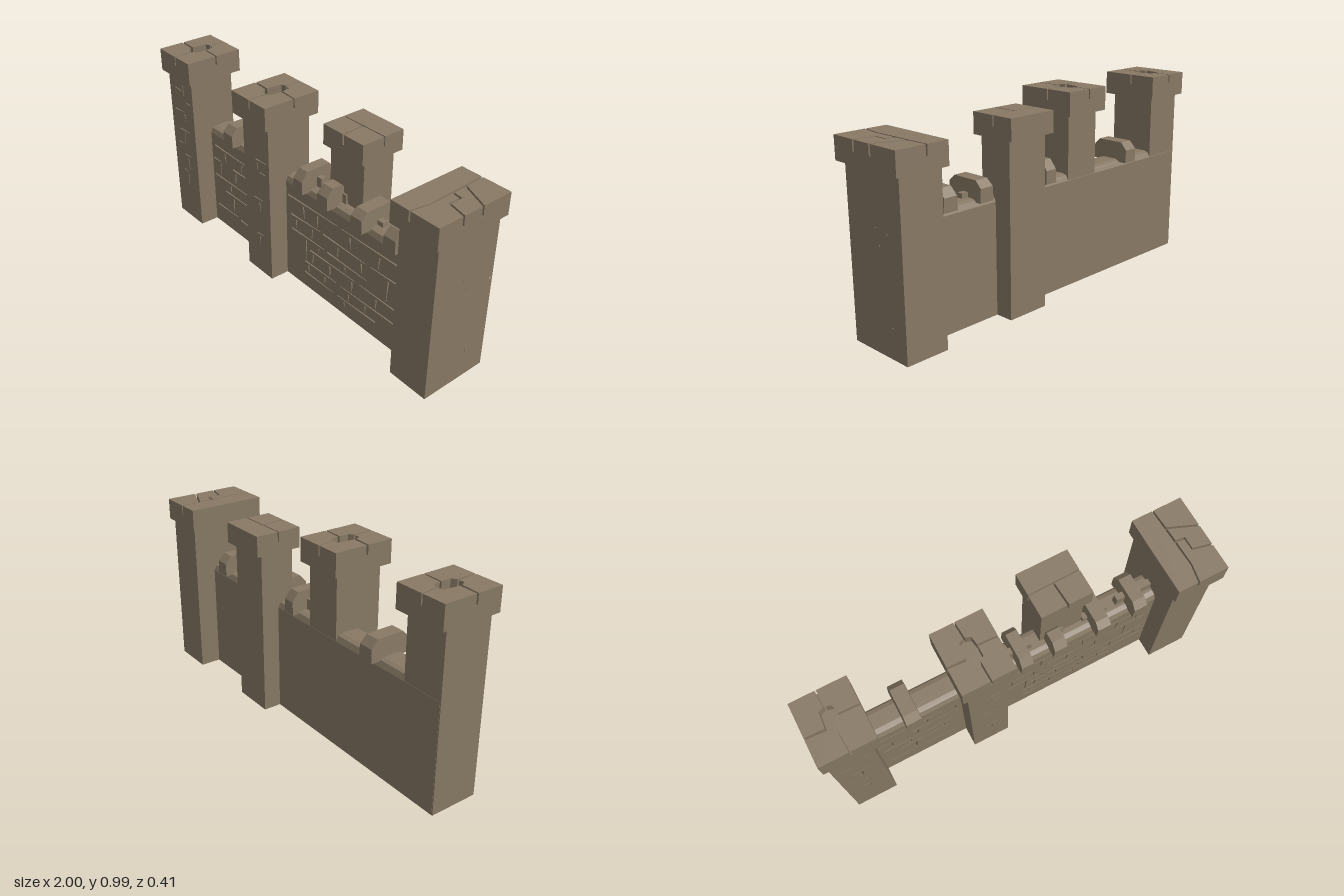
import * as THREE from 'three';

const stone = new THREE.MeshStandardMaterial({ color: 0x887965 });
stone.name = 'stone';
stone.flatShading = true;

function add(parent, name, geometry) {
  const mesh = new THREE.Mesh(geometry, stone);
  mesh.name = name;
  parent.add(mesh);
  return mesh;
}

// Box between two corners, narrowing along x and z towards the top
function block([x0, x1], [y0, y1], [z0, z1], taper = 1) {
  const g = new THREE.BoxGeometry(x1 - x0, y1 - y0, z1 - z0);
  const p = g.attributes.position;
  for (let i = 0; i < p.count; i++) {
    if (p.getY(i) > 0) p.setXYZ(i, p.getX(i) * taper, p.getY(i), p.getZ(i) * taper);
  }
  return g.translate((x0 + x1) / 2, (y0 + y1) / 2, (z0 + z1) / 2);
}

// Profile of [z, y] points carried along x
function alongX(points, x0, x1) {
  const shape = new THREE.Shape(points.map(([z, y]) => new THREE.Vector2(-z, y)));
  return new THREE.ExtrudeGeometry(shape, { depth: x1 - x0, bevelEnabled: false })
    .rotateY(Math.PI / 2).translate(x0, 0, 0);
}

// Outline of [x, z] points raised upwards
function slab(points, y0, y1) {
  const shape = new THREE.Shape(points.map(([x, z]) => new THREE.Vector2(x, -z)));
  return new THREE.ExtrudeGeometry(shape, { depth: y1 - y0, bevelEnabled: false })
    .rotateX(-Math.PI / 2).translate(0, y0, 0);
}

// Facing layer with tapered joints cut through it; lines are [u0, v0, u1, v1]
const DEPTH = 0.014;
function carved([u0, u1], [v0, v1], lines, width, mirror = 1) {
  const point = (u, v) => new THREE.Vector2(mirror * u, v);
  const shape = new THREE.Shape([point(u0, v0), point(u1, v0), point(u1, v1), point(u0, v1)]);
  for (const [a, b, c, d] of lines) {
    const len = Math.hypot(c - a, d - b), tu = (c - a) / len, tv = (d - b) / len;
    // Upright joints stop short of the courses above and below
    const inset = Math.abs(tv) > Math.abs(tu) ? 0.014 : 0;
    const corner = (s, side, w) => {
      const along = s ? len - inset : inset;
      return point(a + tu * along - tv * side * w / 2, b + tv * along + tu * side * w / 2);
    };
    shape.holes.push(new THREE.Path([corner(0, 1, width), corner(0, -1, width),
      corner(1, -1, width * 0.4), corner(1, 1, width * 0.4)]));
  }
  return new THREE.ExtrudeGeometry(shape, { depth: DEPTH, bevelEnabled: false });
}

// Cap stone outlines in -1..1 coordinates, seen from above
const aroundPit = [
  [[-1, -1], [-.1, -1], [-.06, -.45], [-.25, -.4], [-.3, .1], [-1, .08]],
  [[-.05, -1], [1, -1], [1, -.1], [.25, -.13], [.2, -.4], [.0, -.45]],
  [[1, -.05], [1, 1], [.1, 1], [.08, .35], [.25, .25], [.25, -.07]],
  [[-1, .14], [-.3, .18], [-.2, .35], [.01, .35], [.05, 1], [-1, 1]],
];
const tBlocks = [
  [[-1, -1], [1, -1], [1, -.08], [-1, -.04]],
  [[-1, .01], [-.06, -.01], [-.01, 1], [-1, 1]],
  [[0, -.01], [1, -.03], [1, 1], [.06, 1]],
];
const zigzag = [
  [[-1, -1], [-.18, -1], [-.1, .55], [-.22, 1], [-1, 1]],
  [[-.12, -1], [1, -1], [1, -.22], [-.08, -.5]],
  [[-.08, -.45], [1, -.17], [1, .32], [.3, .22], [.3, -.1], [-.06, -.12]],
  [[-.06, -.07], [.24, -.05], [.25, .26], [1, .37], [1, 1], [-.16, 1], [-.04, .55]],
];

const rightEndFront = [
  [-.86, .84, -.85, .75], [-.93, .79, -.87, .785], [-.95, .66, -.87, .665], [-.86, .67, -.855, .6],
  [-.83, .73, -.79, .73], [-.92, .55, -.82, .555], [-.865, .555, -.88, .46], [-.95, .46, -.9, .465],
  [-.89, .4, -.83, .405], [-.86, .4, -.85, .3], [-.91, .3, -.865, .295], [-.87, .29, -.88, .2],
];
const middleFront = [
  [-.22, .665, -.13, .668], [-.21, .66, -.2, .59], [-.19, .6, -.14, .603], [-.24, .44, -.17, .445],
  [-.2, .44, -.19, .36], [-.23, .23, -.17, .235], [-.2, .23, -.21, .16],
];
const leftEndSide = [
  [.005, .8, 0, .74], [.05, .72, .01, .735], [.05, .72, .045, .63], [-.075, .735, -.135, .73],
  [-.075, .73, -.07, .65], [.095, .55, -.005, .555], [.095, .55, .088, .47], [-.02, .62, -.017, .36],
  [-.035, .49, -.18, .49], [-.075, .56, -.075, .49], [-.09, .55, -.15, .55], [.11, .42, .06, .42],
  [.05, .42, .045, .36], [.02, .47, .1, .485], [-.06, .43, -.075, .365], [.085, .35, .07, .28],
  [.02, .355, -.08, .35], [.015, .35, .012, .28], [.125, .27, -.03, .28], [.04, .27, .05, .2],
  [-.022, .28, -.035, .21], [-.02, .21, -.024, .15], [.11, .14, -.015, .15], [-.03, .15, -.165, .14],
  [.045, .14, .04, .08], [-.08, .15, -.09, .07], [.1, .08, -.03, .085],
];

const towers = [
  { name: 'rightEndTower', x: [-.985, -.77], z: [-.079, .168], top: .873, front: rightEndFront,
    capX: [-1, -.732], capZ: [-.112, .198], capTop: .99, stones: aroundPit },
  { name: 'middleTower', x: [-.312, -.113], z: [-.079, .168], top: .873, front: middleFront,
    capX: [-.345, -.085], capZ: [-.112, .202], capTop: .99, stones: aroundPit },
  { name: 'rearTower', x: [.148, .372], z: [-.172, .005], top: .845,
    capX: [.128, .392], capZ: [-.205, .035], capTop: .948, stones: tBlocks },
  { name: 'leftEndTower', x: [.763, .977], z: [-.188, .17], top: .806, side: leftEndSide,
    capX: [.738, 1], capZ: [-.205, .205], capTop: .915, stones: zigzag },
];

function buildTower(t) {
  const g = new THREE.Group();
  g.name = t.name;
  const [x0, x1] = t.x, [z0, z1] = t.z, height = [0, t.top];
  add(g, 'shaft', block([x0, t.side ? x1 - DEPTH : x1], height, [z0, t.front ? z1 - DEPTH : z1]));
  if (t.front) {
    add(g, 'frontFacing', carved(t.x, height, t.front, .007).translate(0, 0, z1 - DEPTH));
  }
  if (t.side) {
    add(g, 'sideFacing', carved(t.z, height, t.side, .007, -1)
      .rotateY(Math.PI / 2).translate(x1 - DEPTH, 0, 0));
  }
  // Cap of separate stones on a solid base
  const split = t.capTop - 0.05;
  add(g, 'capBase', block(t.capX, [t.top, split], t.capZ));
  const cx = (t.capX[0] + t.capX[1]) / 2, hx = (t.capX[1] - t.capX[0]) / 2;
  const cz = (t.capZ[0] + t.capZ[1]) / 2, hz = (t.capZ[1] - t.capZ[0]) / 2;
  t.stones.forEach(outline => add(g, 'capStone',
    slab(outline.map(([u, v]) => [cx + u * hx, cz + v * hz]), split, t.capTop)));
  return g;
}

const wallFront = [
  [-.74, .485, -.42, .48], [-.76, .40, -.69, .402], [-.58, .402, -.33, .405], [-.75, .302, -.37, .30],
  [-.66, .23, -.39, .233], [-.74, .11, -.55, .113], [-.53, .105, -.38, .1], [-.65, .48, -.64, .4],
  [-.49, .48, -.5, .405], [-.34, .48, -.35, .41], [-.45, .4, -.44, .3], [-.55, .4, -.56, .3],
  [-.69, .4, -.7, .3], [-.6, .3, -.61, .23], [-.42, .3, -.425, .23], [-.58, .23, -.59, .11],
];
const wallFrontLeft = [
  [-.1, .48, .27, .484], [.74, .485, .3, .484], [-.08, .378, .15, .388], [.17, .386, .47, .38],
  [.74, .388, .5, .382], [-.07, .297, .18, .3], [.2, .297, .48, .292], [.07, .237, .4, .24],
  [.74, .237, .43, .24], [.03, .152, .27, .155], [.74, .158, .3, .152], [.03, .085, .25, .082],
  [.55, .09, .28, .085], [.02, .48, .03, .385], [.13, .48, .125, .388], [.36, .48, .365, .385],
  [.56, .48, .55, .385], [.68, .48, .67, .388], [-.03, .38, -.04, .3], [.09, .383, .085, .3],
  [.28, .38, .275, .297], [.44, .38, .445, .295], [.62, .383, .61, .24], [.14, .298, .135, .24],
  [.33, .295, .335, .24], [.045, .297, .04, .152], [.1, .237, .09, .155], [.22, .238, .225, .155],
  [.38, .238, .385, .155], [.55, .238, .545, .155], [.69, .237, .695, .158], [.06, .152, .065, .085],
  [.19, .153, .185, .084], [.36, .152, .365, .087], [.48, .154, .475, .09], [.33, .085, .335, .03],
];
const wallBack = [
  [-.74, .47, -.6, .475], [-.45, .46, -.57, .465], [-.66, .39, -.5, .385], [-.34, .38, -.42, .385],
  [-.7, .29, -.54, .295], [-.5, .23, -.33, .235], [-.62, .2, -.74, .205], [-.585, .47, -.58, .39],
  [-.52, .29, -.52, .21], [-.1, .45, .1, .455], [-.05, .27, .12, .265], [-.09, .2, .06, .205],
  [.05, .38, -.08, .385], [.02, .45, .03, .385], [.42, .47, .6, .465], [.74, .4, .62, .395],
  [.44, .31, .6, .305], [.72, .24, .55, .245], [.45, .17, .58, .175], [.56, .4, .57, .31],
];

export function createModel() {
  const model = new THREE.Group();
  model.name = 'castleWall';
  towers.forEach(t => model.add(buildTower(t)));

  // Curtain wall: solid core with softened top, faced front and back
  const back = -.08, front = .066, shoulder = .55;
  add(model, 'wallCore', alongX([[back + DEPTH, 0], [front - DEPTH, 0], [front - DEPTH, shoulder],
    [front, shoulder], [front - .012, .575], [.03, .582], [-.045, .582], [back + .014, .575],
    [back, shoulder], [back + DEPTH, shoulder]], -.98, .8));
  add(model, 'wallFrontFacing', carved([-.98, .8], [0, shoulder],
    [...wallFront, ...wallFrontLeft], .009).translate(0, 0, front - DEPTH));
  add(model, 'wallBackFacing', carved([-.98, .8], [0, shoulder], wallBack, .007, -1)
    .rotateY(Math.PI).translate(0, 0, back + DEPTH));

  // Chamfered blocks straddling the wall top: x0, x1, back z, front z, top y
  [[-.602, -.517, -.113, .1, .672], [-.006, .064, -.1, .107, .68], [.17, .246, -.02, .107, .675],
    [.403, .482, -.1, .11, .667], [.608, .686, -.097, .104, .672]].forEach(([x0, x1, b, f, y]) => {
    const g = alongX([[b, .568], [f, .568], [f, .635], [f - .035, y], [b + .035, y], [b, .635]], x0, x1);
    const p = g.attributes.position, mid = (x0 + x1) / 2;
    for (let i = 0; i < p.count; i++) {
      const narrow = 1 - 0.15 * (p.getY(i) - .568) / (y - .568);
      p.setX(i, mid + (p.getX(i) - mid) * narrow);
    }
    add(model, 'merlon', g);
  });
  // Low stones running along the wall top
  [[-.065, .1, .635], [.19, .272, .63], [.375, .52, .605], [.56, .765, .632]].forEach(([x0, x1, y]) =>
    add(model, 'copingStone', block([x0, x1], [.56, y], [-.018, .016], 0.92)));
  return model;
}
